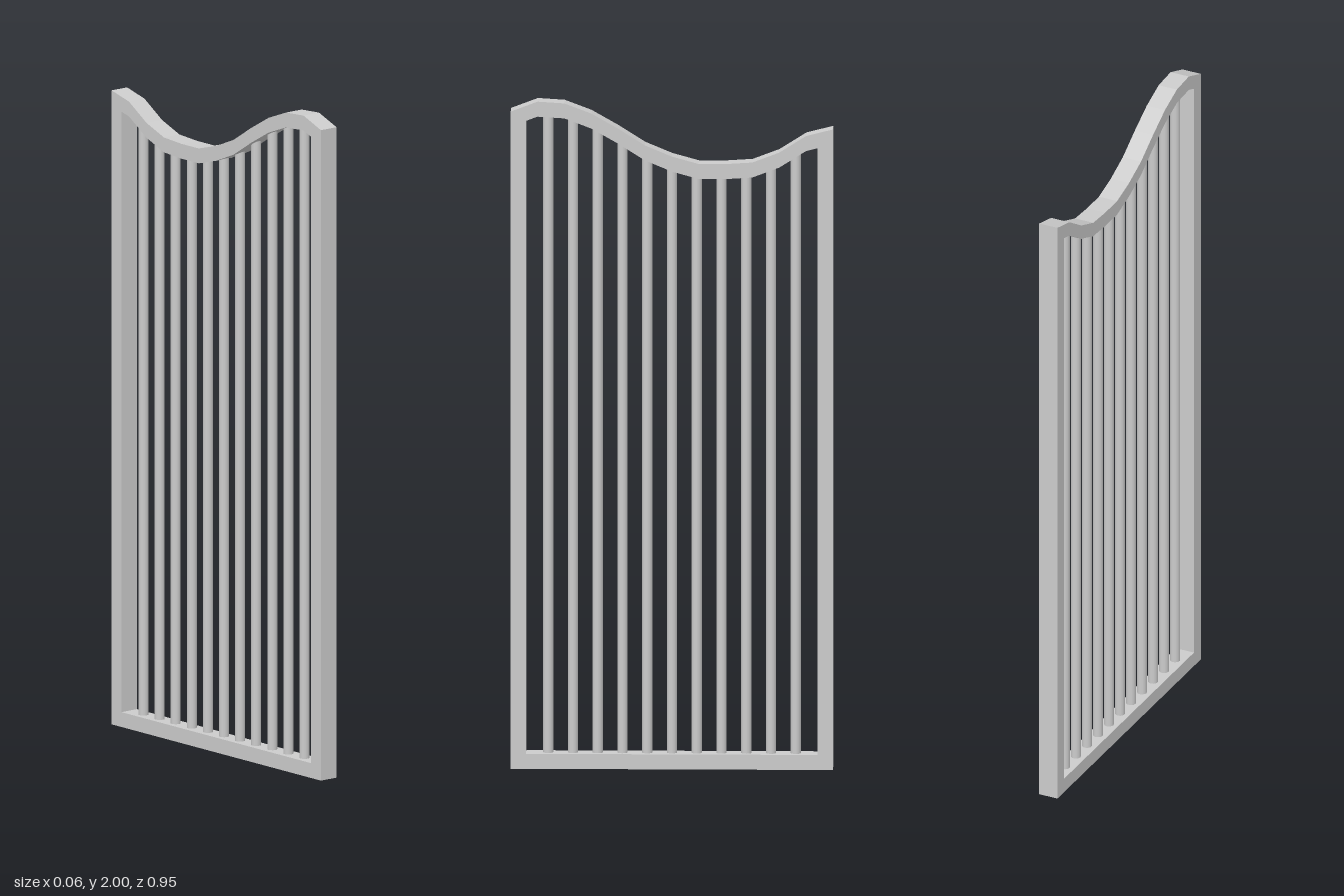
import * as THREE from 'three';

const DEPTH = 0.06, HALF = 0.475, RAIL = 0.045;

// Wavy top edge, heights at even steps from z = +HALF to z = -HALF
const TOP = [1.97, 2.0, 1.995, 1.965, 1.92, 1.87, 1.837, 1.815, 1.815, 1.82, 1.85, 1.9, 1.92];
const topEdge = TOP.map((y, i) => new THREE.Vector2(-HALF + (i * 2 * HALF) / (TOP.length - 1), y));

// Height of the top edge at u = -z
function topAt(u) {
  const t = ((u + HALF) / (2 * HALF)) * (TOP.length - 1);
  const i = Math.min(Math.floor(t), TOP.length - 2);
  return THREE.MathUtils.lerp(TOP[i], TOP[i + 1], t - i);
}

export function createModel() {
  const group = new THREE.Group();
  group.name = 'gatePanel';
  const material = new THREE.MeshStandardMaterial({ color: 0xcccccc });

  // Frame: closed outline with one large opening, drawn in (-z, y)
  const outline = new THREE.Shape([
    new THREE.Vector2(-HALF, 0),
    new THREE.Vector2(HALF, 0),
    ...[...topEdge].reverse(),
  ]);
  const inner = HALF - RAIL;
  const lower = (u) => new THREE.Vector2(u, topAt(u) - RAIL);
  outline.holes.push(new THREE.Path([
    new THREE.Vector2(-inner, RAIL),
    lower(-inner),
    ...topEdge.slice(1, -1).map((p) => lower(p.x)),
    lower(inner),
    new THREE.Vector2(inner, RAIL),
  ]));
  const frameGeometry = new THREE.ExtrudeGeometry(outline, { depth: DEPTH, bevelEnabled: false });
  frameGeometry.translate(0, 0, -DEPTH / 2).rotateY(Math.PI / 2);
  const frame = new THREE.Mesh(frameGeometry, material);
  frame.name = 'frame';
  group.add(frame);

  // Upright round bars, ends sunk a little into the frame
  const bars = new THREE.Group();
  bars.name = 'bars';
  for (let i = -5; i <= 5; i++) {
    const u = i * 0.073;
    const bottom = RAIL - 0.015, top = topAt(u) - RAIL + 0.015;
    const bar = new THREE.Mesh(new THREE.CylinderGeometry(0.015, 0.015, top - bottom, 12), material);
    bar.position.set(0, (top + bottom) / 2, -u);
    bar.name = 'bar';
    bars.add(bar);
  }
  group.add(bars);
  return group;
}
